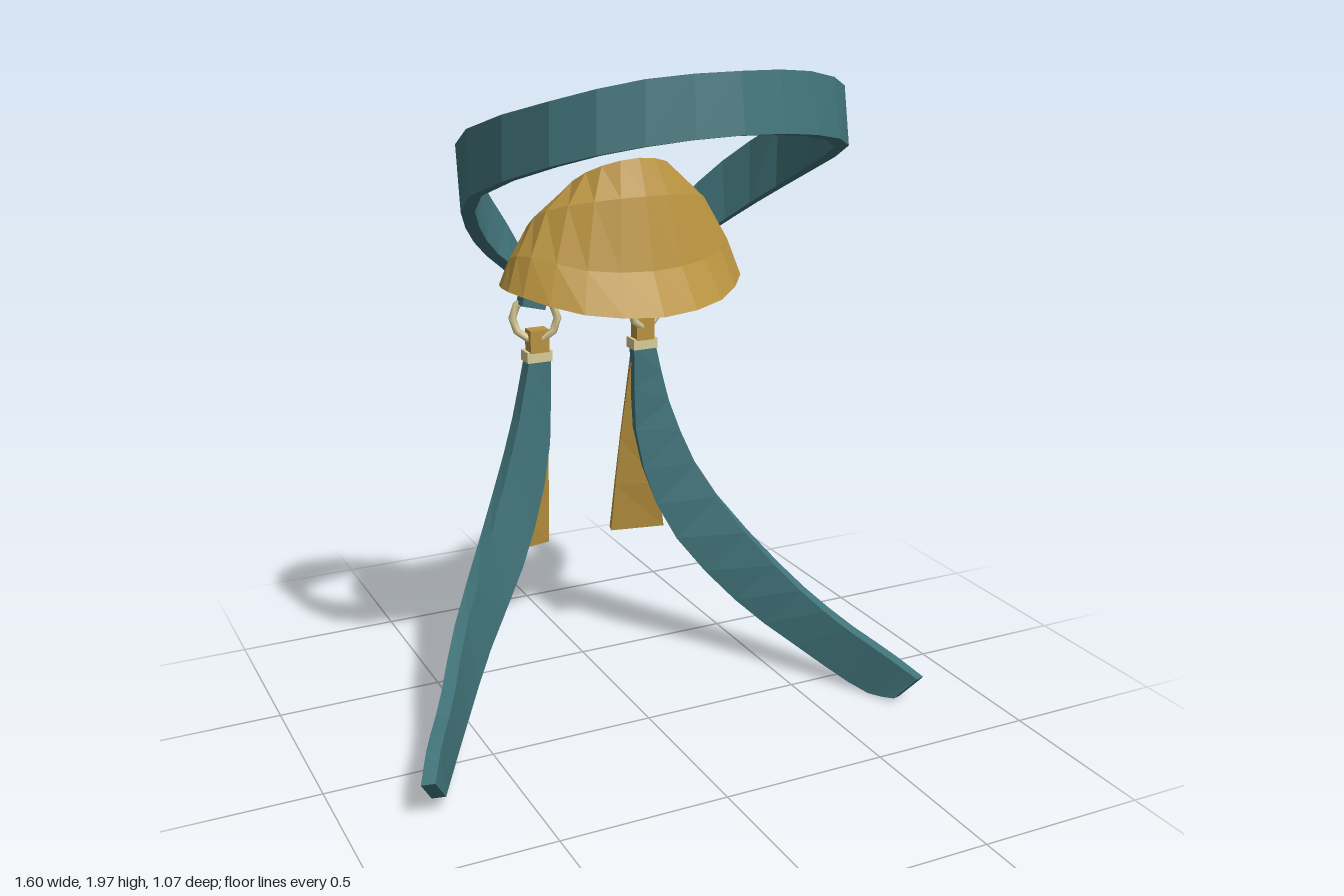
import * as THREE from 'three';

const mat = (name, color, side = THREE.FrontSide) => {
  const m = new THREE.MeshStandardMaterial({ color, side });
  m.name = name;
  return m;
};

// Smooth rail through control points
const rail = (pts) => new THREE.CatmullRomCurve3(pts.map((p) => new THREE.Vector3(...p)), false, 'catmullrom', 0.5);
const sample = (pts, n) => rail(pts).getPoints(n);
const flip = (pts, s) => pts.map(([x, y, z]) => [x * s, y, z]);
// Half rail, starting on the centre line, mirrored to a full one
const full = (pts) => [...flip(pts.slice(1), -1).reverse(), ...pts];

// Flat-faced closed solid from a row of cross-section loops
function loft(rings) {
  const tris = [];
  const k = rings[0].length;
  for (let i = 0; i + 1 < rings.length; i++) {
    for (let j = 0; j < k; j++) {
      const a = rings[i][j], b = rings[i][(j + 1) % k];
      const c = rings[i + 1][(j + 1) % k], d = rings[i + 1][j];
      tris.push([a, b, c], [a, c, d]);
    }
  }
  const first = rings[0], last = rings[rings.length - 1];
  for (let j = 1; j + 1 < k; j++) {
    tris.push([first[0], first[j + 1], first[j]], [last[0], last[j], last[j + 1]]);
  }
  // Turn the faces outward if the volume comes out negative
  const origin = first[0], t = new THREE.Vector3();
  let volume = 0;
  for (const [a, b, c] of tris) {
    volume += a.clone().sub(origin).dot(t.crossVectors(b.clone().sub(origin), c.clone().sub(origin)));
  }
  const points = tris.flatMap((f) => (volume < 0 ? [f[0], f[2], f[1]] : f));
  const g = new THREE.BufferGeometry().setFromPoints(points);
  g.computeVertexNormals();
  return g;
}

// Flat strap between two edge rails
function ribbon(lower, upper, half, n) {
  const K = sample(lower, n), L = sample(upper, n);
  const mid = K.map((p, i) => p.clone().add(L[i]).multiplyScalar(0.5));
  return loft(K.map((p, i) => {
    const along = mid[Math.min(i + 1, n)].clone().sub(mid[Math.max(i - 1, 0)]);
    const t = along.cross(L[i].clone().sub(p)).setLength(half);
    return [p.clone().add(t), L[i].clone().add(t), L[i].clone().sub(t), p.clone().sub(t)];
  }));
}

export function createModel() {
  const model = new THREE.Group();
  model.name = 'harness';
  const teal = mat('teal cloth', 0x41747a);
  const gold = mat('gold', 0xb8923f);
  const cream = mat('pale metal', 0xd9cc96, THREE.DoubleSide);
  const add = (name, geometry, material, parent = model) => {
    const mesh = new THREE.Mesh(geometry, material);
    mesh.name = name;
    parent.add(mesh);
    return mesh;
  };

  // Tilted band loop, open at the back
  add('bandLoop', ribbon(
    full([[0, 1.83, 0.515], [0.23, 1.81, 0.46], [0.41, 1.755, 0.32], [0.5, 1.64, 0], [0.44, 1.52, -0.2],
      [0.34, 1.41, -0.32], [0.23, 1.32, -0.375], [0.165, 1.23, -0.39]]),
    full([[0, 1.98, 0.49], [0.22, 1.965, 0.435], [0.4, 1.91, 0.305], [0.5, 1.815, 0], [0.45, 1.7, -0.22],
      [0.34, 1.56, -0.36], [0.235, 1.4, -0.42], [0.2, 1.24, -0.42]]), 0.019, 28), teal);

  // Hollow horseshoe hood: rails run round it from the inner lip over the outside to the rim and back inside
  const hoodRails = [
    [[0, 1.64, -0.11], [0.07, 1.62, -0.13], [0.11, 1.56, -0.2], [0.12, 1.48, -0.28], [0.115, 1.38, -0.36], [0.13, 1.27, -0.4]],
    [[0, 1.7, -0.06], [0.1, 1.68, -0.09], [0.155, 1.63, -0.17], [0.175, 1.54, -0.28], [0.17, 1.42, -0.38], [0.16, 1.28, -0.425]],
    [[0, 1.6, -0.015], [0.14, 1.59, -0.05], [0.245, 1.56, -0.14], [0.26, 1.5, -0.25], [0.235, 1.4, -0.36], [0.18, 1.275, -0.425]],
    [[0, 1.4, 0.03], [0.18, 1.41, -0.01], [0.305, 1.44, -0.11], [0.325, 1.42, -0.22], [0.28, 1.36, -0.34], [0.19, 1.265, -0.425]],
    [[0, 1.285, 0.1], [0.21, 1.3, 0.04], [0.34, 1.335, -0.09], [0.36, 1.34, -0.2], [0.31, 1.32, -0.33], [0.2, 1.26, -0.42]],
    [[0, 1.4, 0], [0.165, 1.41, -0.04], [0.28, 1.43, -0.125], [0.3, 1.41, -0.22], [0.255, 1.35, -0.33], [0.18, 1.26, -0.41]],
    [[0, 1.56, -0.06], [0.12, 1.55, -0.09], [0.21, 1.52, -0.16], [0.22, 1.46, -0.25], [0.2, 1.37, -0.35], [0.155, 1.26, -0.405]],
  ].map((r) => sample(full(r), 20));
  add('hood', loft(hoodRails[0].map((_, i) => hoodRails.map((r) => r[i]))), gold);

  for (const s of [1, -1]) {
    const side = new THREE.Group();
    side.name = s > 0 ? 'leftFittings' : 'rightFittings';
    model.add(side);

    // End of the band, folded round the ring
    const fold = add('bandFold', new THREE.BoxGeometry(0.075, 0.045, 0.05), teal, side);
    fold.position.set(0.19 * s, 1.248, -0.4);
    fold.rotation.z = 0.25 * s;

    // Ring, tab and clasp
    const ring = add('ring', new THREE.TorusGeometry(0.067, 0.012, 6, 10), cream, side);
    ring.position.set(0.183 * s, 1.19, -0.4);
    ring.rotation.y = 0.4 * s;
    const tab = add('tab', new THREE.BoxGeometry(0.06, 0.07, 0.045), gold, side);
    tab.position.set(0.175 * s, 1.12, -0.405);
    const clasp = add('clasp', new THREE.BoxGeometry(0.08, 0.033, 0.055), cream, side);
    clasp.position.set(0.175 * s, 1.072, -0.412);

    // Long trailing strap; the right one ends a little higher
    const lift = s > 0 ? 0 : 0.035;
    add('trailingStrap', ribbon(
      flip([[0.14, 1.07, -0.41], [0.155, 0.75, -0.41], [0.25, 0.465, -0.37], [0.43, 0.23, -0.24],
        [0.58, 0.1, -0.05], [0.69, 0.02 + lift, 0.13], [0.74, 0.025 + lift, 0.23]], s),
      flip([[0.21, 1.07, -0.405], [0.265, 0.85, -0.39], [0.37, 0.6, -0.33], [0.53, 0.36, -0.16],
        [0.64, 0.23, 0.02], [0.73, 0.155 + lift, 0.18], [0.785, 0.105 + lift, 0.285]], s), 0.02, 14), teal, side);

    // Short flared tail behind it
    const inner = flip([[0.148, 1.07, -0.42], [0.128, 0.75, -0.475], [0.112, 0.425, -0.52]], s);
    const outer = flip([[0.202, 1.07, -0.41], [0.225, 0.75, -0.435], [0.28, 0.43, -0.475]], s);
    add('tail', ribbon(inner, outer, 0.014, 4), gold, side);

    // Pale pointed tip with a knob, laid on the back of the tail
    const tip = new THREE.Shape([[0.03, 0.003], [0.97, 0.003], [0.97, 0.03], [0.58, 0.08], [0.57, 0.1], [0.65, 0.115],
      [0.6, 0.135], [0.5, 0.14], [0.4, 0.135], [0.35, 0.115], [0.43, 0.1], [0.42, 0.08], [0.03, 0.03]]
      .map(([u, v]) => new THREE.Vector2(u, v)));
    const tipGeometry = new THREE.ShapeGeometry(tip);
    const K = rail(inner), L = rail(outer);
    const pos = tipGeometry.attributes.position;
    for (let i = 0; i < pos.count; i++) {
      const t = 1 - pos.getY(i) / 0.65;
      const p = K.getPoint(t).lerp(L.getPoint(t), pos.getX(i));
      pos.setXYZ(i, p.x + 0.005 * s, p.y - 0.002, p.z - 0.018);
    }
    // Keep the front of the plate facing backward on both sides
    if (s > 0) tipGeometry.index.array.reverse();
    tipGeometry.computeVertexNormals();
    add('tailTip', tipGeometry, cream, side);
  }
  return model;
}
